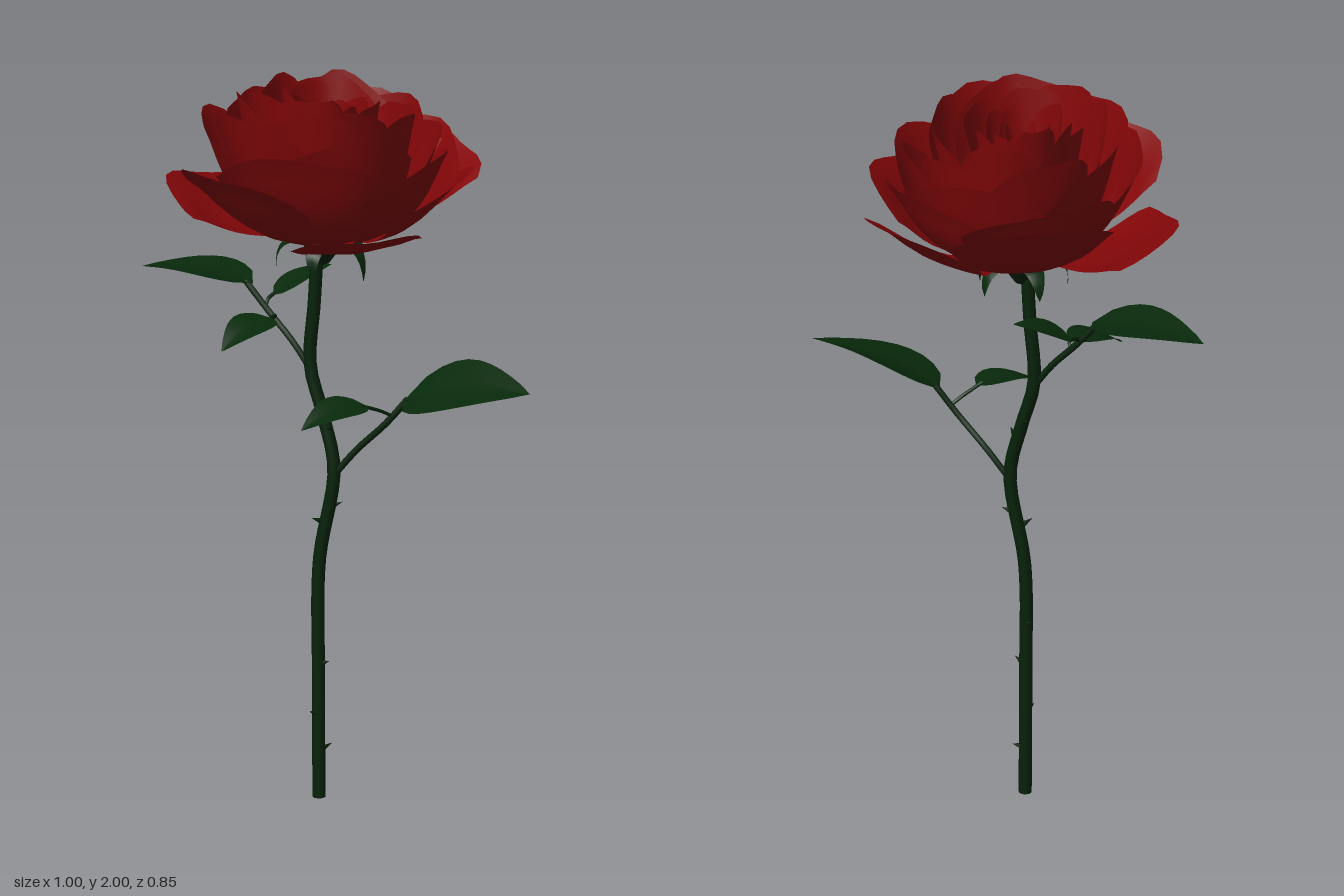
import * as THREE from 'three';

const V = (x, y, z) => new THREE.Vector3(x, y, z);
const red = new THREE.MeshStandardMaterial({ color: 0x820608, side: THREE.DoubleSide });
red.name = 'petal red';
const stemGreen = new THREE.MeshStandardMaterial({ color: 0x062209 });
stemGreen.name = 'stem green';
const leafGreen = new THREE.MeshStandardMaterial({ color: 0x08290b, side: THREE.DoubleSide });
leafGreen.name = 'leaf green';

let seed = 7;
const jitter = (amount) => {
  seed = (seed * 16807) % 2147483647;
  return (seed / 2147483647 - 0.5) * 2 * amount;
};

function addMesh(parent, name, geometry, material) {
  const mesh = new THREE.Mesh(geometry, material);
  mesh.name = name;
  parent.add(mesh);
  return mesh;
}

// Grid surface from a function of u in [-1, 1] and v in [0, 1]
function sheet(nu, nv, point) {
  const positions = [], index = [];
  for (let j = 0; j <= nv; j++) {
    for (let i = 0; i <= nu; i++) positions.push(...point((i / nu) * 2 - 1, j / nv).toArray());
  }
  for (let j = 0; j < nv; j++) {
    for (let i = 0; i < nu; i++) {
      const a = j * (nu + 1) + i, b = a + 1, c = a + nu + 1, d = c + 1;
      index.push(a, c, b, b, c, d);
    }
  }
  const g = new THREE.BufferGeometry();
  g.setAttribute('position', new THREE.Float32BufferAttribute(positions, 3));
  g.setIndex(index);
  g.computeVertexNormals();
  return g;
}

// Cupped petal leaning outward with a rolled lip, one side tucked under its neighbour
function petal(degrees, halfDegrees, tipR, tipY, belly, drop, tuck) {
  const profile = new THREE.CubicBezierCurve(
    new THREE.Vector2(0.02, 1.575),
    new THREE.Vector2(tipR * belly, 1.555),
    new THREE.Vector2(tipR * (belly + 0.2), 1.57 + (tipY - 1.57) * 0.6),
    new THREE.Vector2(tipR * 0.97, tipY + 0.01));
  const a0 = THREE.MathUtils.degToRad(degrees);
  const half = THREE.MathUtils.degToRad(halfDegrees);
  const phase = jitter(3);
  return sheet(10, 9, (u, v) => {
    const p = profile.getPoint(v * (1 - drop * Math.abs(u) ** 2.2));
    const wave = v * v * Math.sin(u * 5 + phase);
    const lip = v ** 8;
    const a = a0 + u * half * (0.65 + 0.35 * Math.sin(v * Math.PI * 0.6));
    const r = p.x * (1 + tuck * u * v + 0.03 * wave + 0.03 * lip);
    return V(r * Math.cos(a), p.y + 0.01 * wave - 0.012 * lip, r * Math.sin(a));
  });
}

// Pointed leaf folded a little along its midrib
function leaf(base, tip, side, halfWidth, arch) {
  const axis = tip.clone().sub(base);
  const across = side.clone().addScaledVector(axis, -side.dot(axis) / axis.lengthSq()).normalize();
  const up = across.clone().cross(axis).normalize();
  if (up.y < 0) up.negate();
  return sheet(6, 10, (u, v) => {
    const w = halfWidth * Math.sin(Math.PI * v ** 0.72) ** 0.8 * (1 - 0.25 * v * v);
    return base.clone().addScaledVector(axis, v)
      .addScaledVector(across, u * w)
      .addScaledVector(up, arch * Math.sin(Math.PI * v) + 0.14 * w * Math.abs(u));
  });
}

function tube(points, radius, segments, sides) {
  return new THREE.TubeGeometry(new THREE.CatmullRomCurve3(points), segments, radius, sides);
}

export function createModel() {
  const rose = new THREE.Group();
  rose.name = 'rose';

  // Flower head
  const flower = new THREE.Group();
  flower.name = 'flower';
  flower.position.set(-0.02, 0, 0);
  rose.add(flower);
  // Outer petals: angle, half angle, tip radius, tip height
  [[-93, 31, 0.43, 1.76], [-33, 36, 0.385, 1.78], [24, 31, 0.415, 1.69],
    [82, 36, 0.425, 1.83], [142, 32, 0.435, 1.69], [210, 38, 0.42, 1.82]].forEach(([a, half, r, y]) =>
    addMesh(flower, 'outerPetal', petal(a, half, r, y, 0.6, 0.22, 0.03), red));
  // Inner rings: count, half angle, tip radius, tip height, belly, start angle
  [[5, 46, 0.34, 1.85, 0.68, 55],
    [5, 45, 0.295, 1.905, 0.72, 20],
    [5, 45, 0.25, 1.945, 0.74, 50],
    [5, 46, 0.2, 1.965, 0.72, 15],
    [4, 56, 0.15, 1.965, 0.7, 60],
    [4, 56, 0.108, 1.965, 0.68, 10],
    [3, 75, 0.072, 1.955, 0.65, 40],
    [3, 75, 0.04, 1.945, 0.6, 95]].forEach(([n, half, r, y, belly, start]) => {
    for (let i = 0; i < n; i++) {
      const angle = start + (i * 360) / n + jitter(9);
      // The head tips a little to the back, so front petals stand higher
      const tilt = 0.12 * r * Math.sin(THREE.MathUtils.degToRad(angle));
      const g = petal(angle, half, r * (1 + jitter(0.07)), y + tilt + jitter(0.018), belly, 0.2, 0.09);
      // The heart of the flower sits slightly off the axis
      if (r < 0.2) g.translate(-0.01, 0, 0.015);
      addMesh(flower, 'innerPetal', g, red);
    }
  });
  // Closed bud at the heart
  addMesh(flower, 'bud', new THREE.ConeGeometry(0.03, 0.36, 6), red).position.set(-0.01, 1.76, 0.015);

  // Stem with its capped foot
  const stemPath = [V(-0.04, 0, 0.02), V(-0.04, 0.35, 0.022), V(-0.036, 0.66, 0.022),
    V(-0.005, 0.92, -0.003), V(-0.035, 1.07, 0.012), V(-0.065, 1.2, 0.03),
    V(-0.055, 1.38, 0.024), V(-0.045, 1.56, 0.02)];
  addMesh(rose, 'stem', tube(stemPath, 0.0175, 40, 8), stemGreen);
  addMesh(rose, 'stemFoot', new THREE.CircleGeometry(0.0175, 8).rotateX(Math.PI / 2), stemGreen)
    .position.set(-0.04, 0.001, 0.02);

  // Calyx under the flower, with drooping sepals
  const calyx = new THREE.Group();
  calyx.name = 'calyx';
  calyx.position.set(-0.035, 0, 0.01);
  rose.add(calyx);
  addMesh(calyx, 'receptacle', new THREE.LatheGeometry([[0.016, 1.49], [0.034, 1.515],
    [0.05, 1.54], [0.085, 1.572], [0, 1.578]].map(([x, y]) => new THREE.Vector2(x, y)), 12), stemGreen);
  for (let i = 0; i < 5; i++) {
    const curve = new THREE.CubicBezierCurve(new THREE.Vector2(0.03, 1.55), new THREE.Vector2(0.09, 1.59),
      new THREE.Vector2(0.135, 1.55), new THREE.Vector2(0.115 + jitter(0.015), 1.48 + jitter(0.015)));
    const g = sheet(2, 8, (u, v) => {
      const p = curve.getPoint(v);
      return V(p.x, p.y - 0.008 * Math.abs(u), u * 0.038 * (1 - v) ** 0.7);
    });
    addMesh(calyx, 'sepal', g, leafGreen).rotation.y = (i * Math.PI * 2) / 5 + 0.35;
  }

  // Twigs
  [[[V(-0.005, 0.9, 0), V(0.05, 0.98, -0.035), V(0.13, 1.07, -0.075), V(0.18, 1.145, -0.11)], 0.009],
    [[V(0.145, 1.09, -0.085), V(0.138, 1.11, -0.05), V(0.13, 1.135, 0.01)], 0.005],
    [[V(-0.065, 1.19, 0.03), V(-0.11, 1.26, 0.055), V(-0.17, 1.33, 0.085), V(-0.23, 1.41, 0.12)], 0.009],
    [[V(-0.18, 1.345, 0.09), V(-0.19, 1.36, 0.075), V(-0.195, 1.37, 0.05)], 0.005],
    [[V(-0.16, 1.315, 0.08), V(-0.14, 1.33, 0.09), V(-0.135, 1.33, 0.11)], 0.005],
  ].forEach(([points, r]) => addMesh(rose, 'twig', tube(points, r, 10, 6), stemGreen));

  // Leaves: base, tip, width direction, half width, arch
  [[V(0.165, 1.135, -0.105), V(0.5, 1.21, -0.27), V(0.4, -0.29, 0.88), 0.135, 0.022],
    [V(0.13, 1.13, -0.01), V(0.105, 1.095, 0.19), V(0.95, -0.12, 0.1), 0.066, 0.02],
    [V(-0.21, 1.405, 0.11), V(-0.5, 1.405, 0.258), V(0.45, 0.05, 0.9), 0.1, 0.018],
    [V(-0.195, 1.365, 0.055), V(-0.14, 1.435, -0.1), V(0.95, 0.1, 0.2), 0.06, 0.008],
    [V(-0.135, 1.325, 0.1), V(-0.13, 1.27, 0.275), V(0.98, -0.05, 0), 0.07, 0.018],
  ].forEach((args) => addMesh(rose, 'leaf', leaf(...args), leafGreen));

  // Thorns: position on the stem and direction around it
  [[-0.04, 0.13, 0.02, -70], [-0.04, 0.23, 0.02, 80], [-0.04, 0.37, 0.02, -10], [-0.04, 0.49, 0.02, 185],
    [-0.025, 0.77, 0.015, 100], [-0.018, 0.81, 0.005, -50], [-0.02, 1.03, 0.005, 15],
    [-0.04, 1.08, 0.012, 200]].forEach(([x, y, z, degrees]) => {
    const a = THREE.MathUtils.degToRad(degrees);
    const dir = V(Math.cos(a), 0.45, Math.sin(a)).normalize();
    const thorn = addMesh(rose, 'thorn', new THREE.ConeGeometry(0.008, 0.03, 5), stemGreen);
    thorn.quaternion.setFromUnitVectors(V(0, 1, 0), dir);
    thorn.position.set(x, y, z).addScaledVector(dir, 0.026);
  });

  return rose;
}
